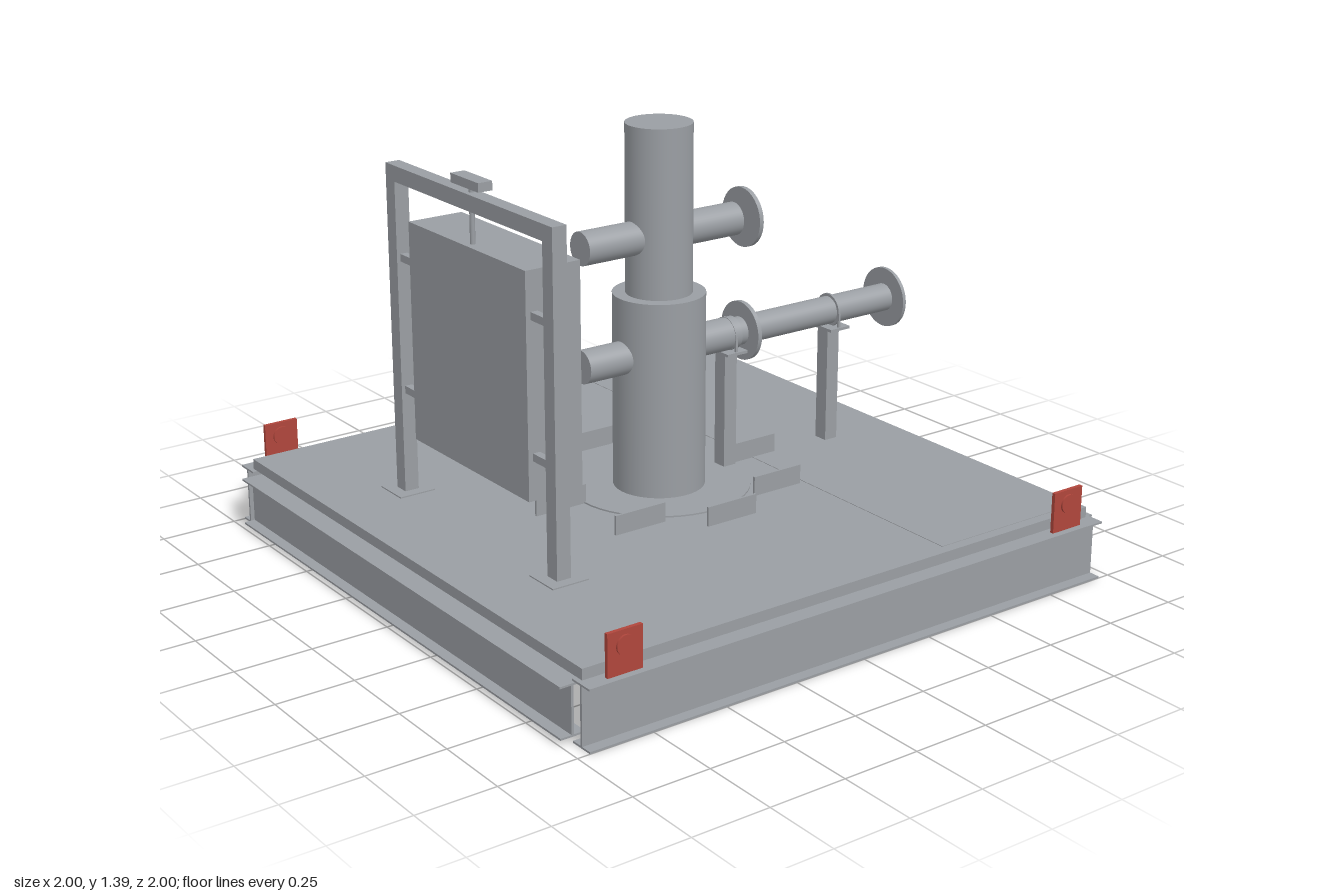
import * as THREE from 'three';

export function createModel() {
  const model = new THREE.Group();
  model.name = 'pipingSkid';
  const steel = new THREE.MeshStandardMaterial({ color: 0x9a9ea3 });
  steel.name = 'grey steel';
  const red = new THREE.MeshStandardMaterial({ color: 0xb0463c });
  red.name = 'red paint';

  const add = (name, geo, x, y, z, mat = steel) => {
    const mesh = new THREE.Mesh(geo, mat);
    mesh.name = name;
    mesh.position.set(x, y, z);
    model.add(mesh);
    return mesh;
  };
  // Box given by its extents on each axis
  const box = (name, [x0, x1], [y0, y1], [z0, z1], mat = steel) =>
    add(name, new THREE.BoxGeometry(x1 - x0, y1 - y0, z1 - z0),
      (x0 + x1) / 2, (y0 + y1) / 2, (z0 + z1) / 2, mat);
  const upright = (name, r, y0, y1, seg = 48) =>
    add(name, new THREE.CylinderGeometry(r, r, y1 - y0, seg), 0, (y0 + y1) / 2, 0);
  const pipeX = (name, r, x0, x1, y) =>
    add(name, new THREE.CylinderGeometry(r, r, x1 - x0, 40).rotateZ(Math.PI / 2),
      (x0 + x1) / 2, y, 0);

  // I-section beam, extruded along z and centred
  const iBeam = (name, length, y0, y1, x, z, alongX) => {
    const w = 0.04, f = 0.006, t = 0.004, h = y1 - y0;
    const section = new THREE.Shape([
      [-w, 0], [w, 0], [w, f], [t, f], [t, h - f], [w, h - f],
      [w, h], [-w, h], [-w, h - f], [-t, h - f], [-t, f], [-w, f],
    ].map(([a, b]) => new THREE.Vector2(a, b)));
    const geo = new THREE.ExtrudeGeometry(section, { depth: length, bevelEnabled: false });
    geo.translate(0, 0, -length / 2);
    if (alongX) geo.rotateY(Math.PI / 2);
    add(name, geo, x, y0, z);
  };

  // Base frame
  for (const s of [-1, 1]) {
    iBeam('endBeam', 1.92, 0, 0.19, 0, s * 0.96, true);
    iBeam('sideBeam', 1.84, 0.018, 0.176, s * 0.96, 0, false);
  }
  for (const x of [-0.48, 0, 0.48]) iBeam('crossBeam', 1.9, 0.018, 0.176, x, 0, false);

  // Deck with its inlaid panel
  box('deck', [-0.945, 0.945], [0.19, 0.224], [-0.945, 0.945]);
  box('deckPanel', [0.375, 0.905], [0.222, 0.2255], [-0.91, 0.91]);

  // Lifting lugs with round cheek plates
  for (const sx of [-1, 1]) for (const sz of [-1, 1]) {
    const x = sx * 0.828, z = sz * 0.972;
    box('liftingLug', [x - 0.058, x + 0.058], [0.19, 0.32], [z - 0.006, z + 0.006], red);
    add('lugCheek', new THREE.CylinderGeometry(0.03, 0.03, 0.024, 24).rotateX(Math.PI / 2),
      x, 0.275, z, red);
  }

  // Vertical vessel
  upright('vesselBase', 0.29, 0.2, 0.229);
  upright('lowerColumn', 0.146, 0.225, 0.86);
  upright('upperColumn', 0.105, 0.86, 1.395);

  // Upright fins around the vessel, all parallel to x
  for (let i = 0; i < 8; i++) {
    const a = i * Math.PI / 4, x = 0.375 * Math.cos(a), z = 0.375 * Math.sin(a);
    box('baseFin', [x - 0.092, x + 0.092], [0.224, 0.287], [z - 0.004, z + 0.004]);
  }

  // Horizontal piping
  pipeX('upperPipe', 0.053, -0.293, 0.29, 1.045);
  pipeX('upperFlange', 0.096, 0.319, 0.334, 1.045);
  pipeX('lowerPipe', 0.053, -0.293, 0.29, 0.67);
  pipeX('dischargePipe', 0.046, 0.28, 0.96, 0.67);
  pipeX('innerFlange', 0.096, 0.319, 0.334, 0.67);
  pipeX('outerFlange', 0.1, 0.926, 0.938, 0.67);

  // Pipe supports with saddle plate and strap
  for (const x of [0.265, 0.69]) {
    box('supportPost', [x - 0.024, x + 0.024], [0.224, 0.617], [-0.025, 0.025]);
    box('saddlePlate', [x - 0.04, x + 0.04], [0.613, 0.622], [-0.06, 0.06]);
    pipeX('pipeStrap', 0.055, x - 0.004, x + 0.004, 0.67);
    for (const s of [-1, 1])
      box('strapLeg', [x - 0.004, x + 0.004], [0.62, 0.67], [s * 0.052 - 0.004, s * 0.052 + 0.004]);
  }

  // Cabinet frame
  const frameX = [-0.692, -0.644];
  for (const s of [-1, 1]) {
    const z = s * 0.426;
    box('framePost', frameX, [0.224, 1.28], [z - 0.025, z + 0.025]);
    box('footPlate', [-0.73, -0.606], [0.224, 0.228], [z - 0.06, z + 0.06]);
    for (const y of [0.565, 0.99])
      box('cabinetBracket', [-0.68, -0.656], [y - 0.012, y + 0.012],
        [s * 0.36 - 0.045, s * 0.36 + 0.045]);
  }
  box('frameTopBeam', frameX, [1.23, 1.28], [-0.451, 0.451]);

  // Control cabinet, lamp and conduit
  box('cabinet', [-0.696, -0.51], [0.43, 1.125], [-0.318, 0.318]);
  box('lamp', frameX, [1.297, 1.325], [-0.075, 0.075]);
  add('conduit', new THREE.CylinderGeometry(0.008, 0.008, 0.2, 12), -0.668, 1.21, 0);

  return model;
}
